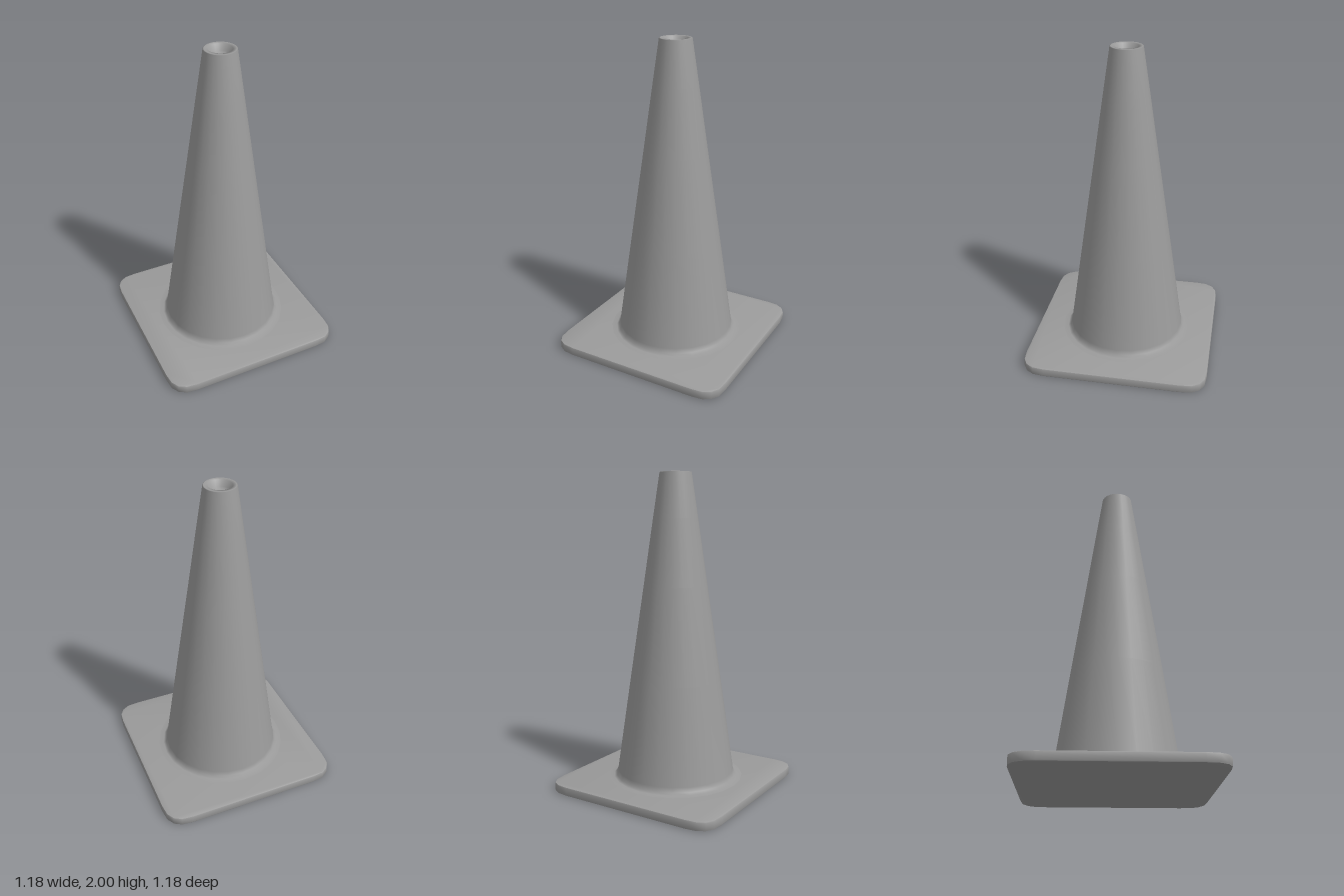
import * as THREE from 'three';
import { toCreasedNormals } from 'three/addons/utils/BufferGeometryUtils.js';

const material = new THREE.MeshStandardMaterial({ color: 0x9b9b9b });

// Square outline: one faceted corner turned through four quarters
function roundedSquare() {
  const corner = [[0.592, 0.435], [0.584, 0.509], [0.556, 0.556], [0.509, 0.584], [0.435, 0.592]];
  const points = [];
  for (let i = 0; i < 4; i++) {
    for (const [x, y] of corner) {
      points.push(new THREE.Vector2(x, y).rotateAround(new THREE.Vector2(), i * Math.PI / 2));
    }
  }
  return new THREE.Shape(points);
}

export function createModel() {
  const group = new THREE.Group();
  group.name = 'trafficCone';

  // Base plate with softened edges
  const height = 0.057, bevel = 0.008;
  const plate = new THREE.ExtrudeGeometry(roundedSquare(), {
    depth: height - 2 * bevel,
    bevelThickness: bevel,
    bevelSize: bevel,
    bevelOffset: -bevel,
    bevelSegments: 2,
  });
  plate.rotateX(-Math.PI / 2).translate(0, bevel, 0);
  const base = new THREE.Mesh(toCreasedNormals(plate, 0.7), material);
  base.name = 'basePlate';
  group.add(base);

  // Cone body: flared foot, straight taper, flat rim and a shallow hollow in the tip
  const profile = [
    [0.45, 0.056], [0.403, 0.059], [0.386, 0.07], [0.377, 0.1],
    [0.29, 0.7], [0.202, 1.3], [0.141, 1.72], [0.1, 1.997],
    [0.095, 2], [0.072, 1.998], [0.062, 1.96], [0.045, 1.945], [0, 1.94],
  ].map(([r, y]) => new THREE.Vector2(r, y));
  const body = new THREE.Mesh(new THREE.LatheGeometry(profile, 24), material);
  body.name = 'coneBody';
  group.add(body);

  return group;
}
